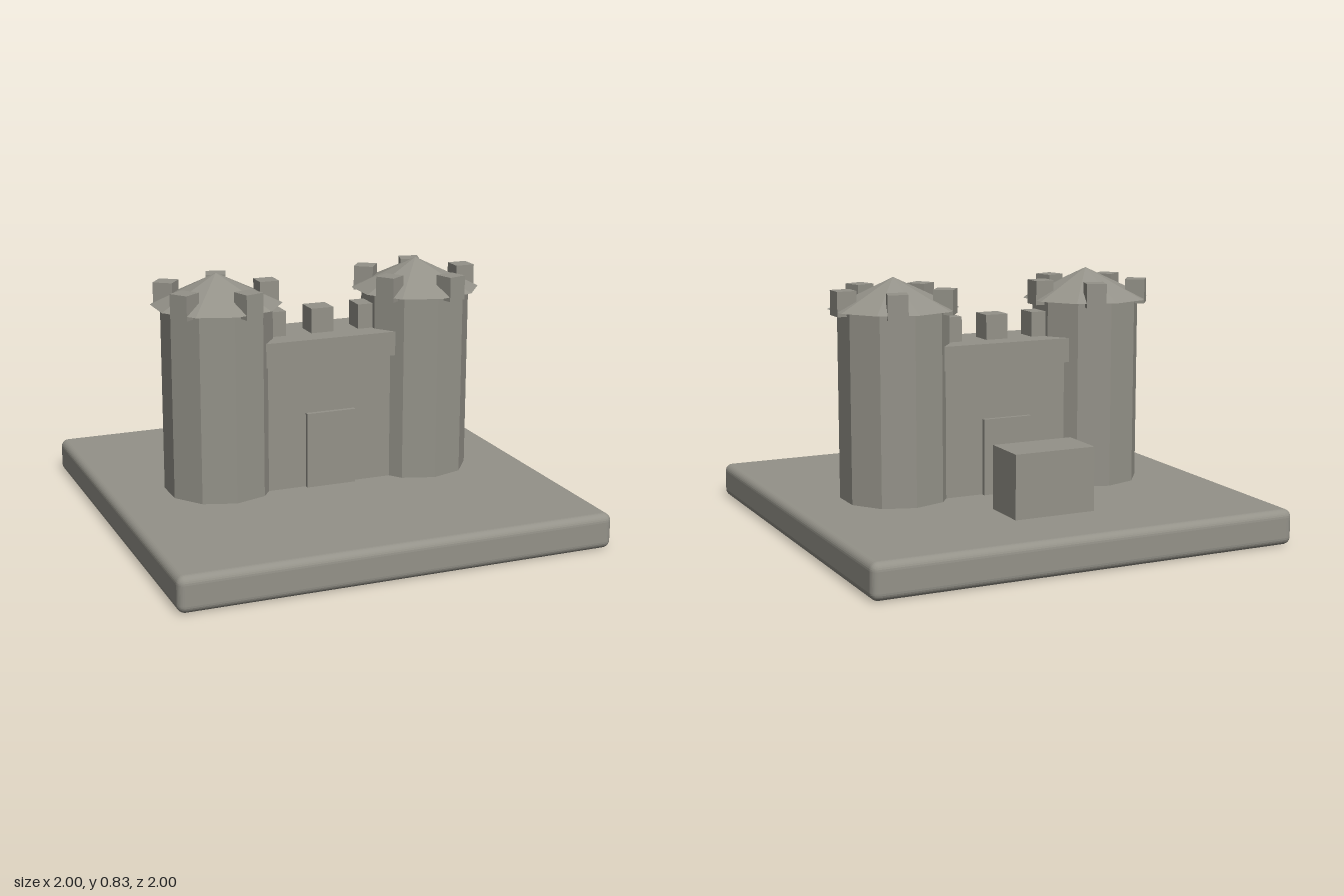
import * as THREE from 'three';
import { RoundedBoxGeometry } from 'three/addons/geometries/RoundedBoxGeometry.js';

export function createModel() {
  const stone = new THREE.MeshStandardMaterial({ color: 0x949289, flatShading: true });
  stone.name = 'stone';

  const model = new THREE.Group();
  model.name = 'castle';

  // The whole castle stands diagonally on the ground
  const castle = new THREE.Group();
  castle.name = 'castleOnBase';
  castle.rotation.y = Math.PI / 4;
  model.add(castle);

  const ground = 0.115;

  const add = (parent, name, geometry, x, y, z) => {
    const mesh = new THREE.Mesh(geometry, stone);
    mesh.name = name;
    mesh.position.set(x, y, z);
    parent.add(mesh);
    return mesh;
  };
  // Box given by its size and the height of its underside
  const addBox = (parent, name, w, h, d, x, bottom, z) =>
    add(parent, name, new THREE.BoxGeometry(w, h, d), x, bottom + h / 2, z);

  // Rounded base slab
  add(castle, 'base', new RoundedBoxGeometry(1.429, ground, 1.429, 4, 0.025), 0, ground / 2, 0);

  // Gate wall with overhanging cap; the door shows on both sides
  addBox(castle, 'wall', 0.43, 0.43, 0.21, 0, ground - 0.005, 0);
  addBox(castle, 'wallCap', 0.46, 0.08, 0.24, 0, 0.535, 0);
  addBox(castle, 'door', 0.17, 0.255, 0.24, 0, ground - 0.003, 0);
  for (const i of [-1, 0, 1]) {
    addBox(castle, 'wallMerlon', 0.078, 0.085, 0.078, i * 0.166, 0.612, 0);
  }

  // Block behind the gate
  addBox(castle, 'block', 0.275, 0.21, 0.16, 0, ground - 0.003, -0.375);

  // Two ten-sided towers with shallow roofs and a ring of merlons
  for (const side of [-1, 1]) {
    const tower = new THREE.Group();
    tower.name = side > 0 ? 'leftTower' : 'rightTower';
    tower.position.x = side * 0.35;
    castle.add(tower);

    add(tower, 'towerBody', new THREE.CylinderGeometry(0.18, 0.18, 0.63, 10), 0, 0.425, 0);
    add(tower, 'towerRoof', new THREE.ConeGeometry(0.212, 0.1, 10), 0, 0.783, 0);

    for (let i = 0; i < 5; i++) {
      const angle = (i * Math.PI * 2) / 5;
      const merlon = addBox(tower, 'towerMerlon', 0.065, 0.08, 0.065,
        Math.cos(angle) * 0.17, 0.718, Math.sin(angle) * 0.17);
      merlon.rotation.y = -angle;
    }
  }

  return model;
}
